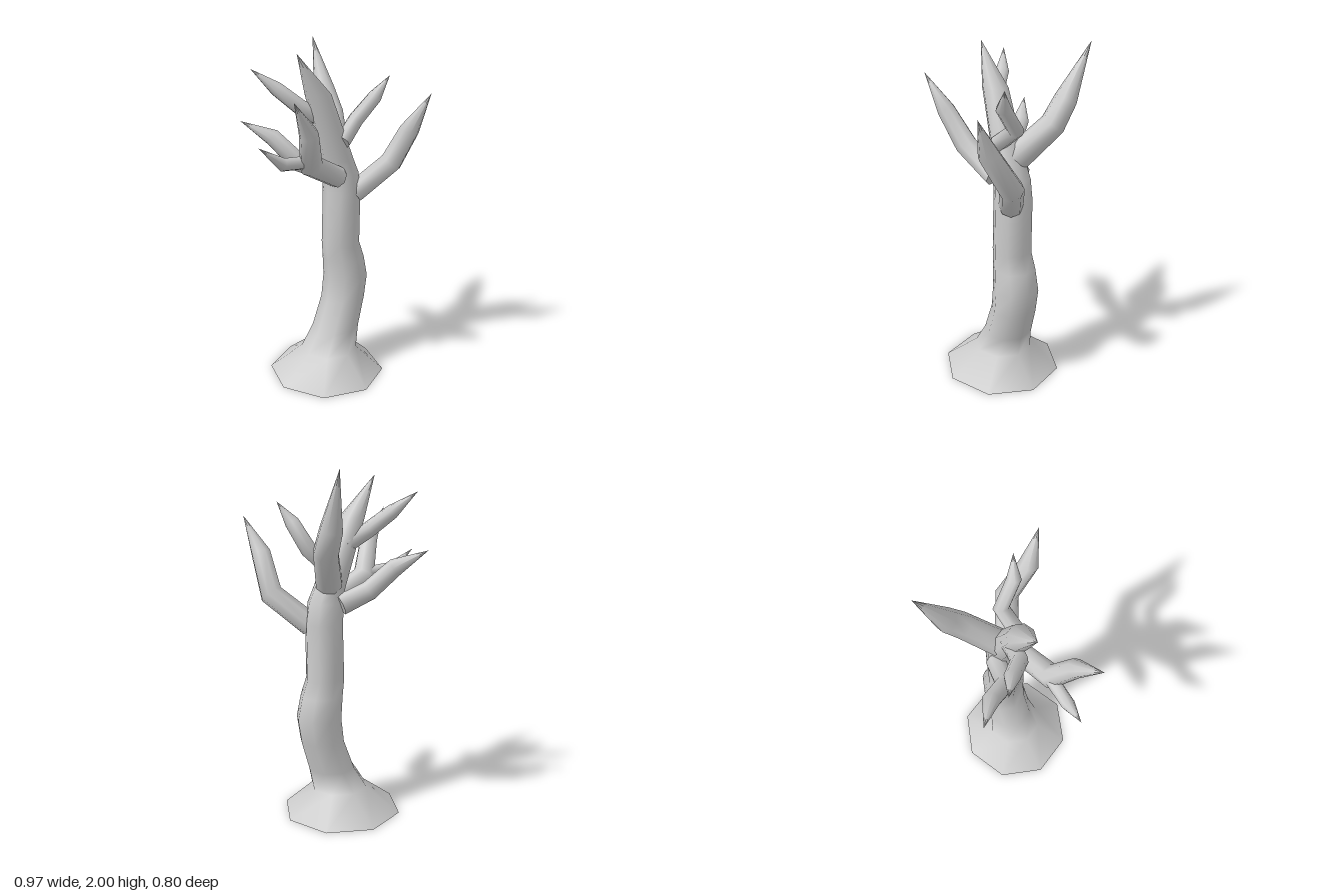
import * as THREE from 'three';

const SIDES = 8;
const barkMaterial = new THREE.MeshStandardMaterial({ color: 0xcccccc });
const openMaterial = new THREE.MeshStandardMaterial({ color: 0xcccccc, side: THREE.DoubleSide });

// Skin a limb through rings [x, y, z, radius]; radius 0 closes to a point.
// The trunk has level rings and an open foot; branches have a flat cut at the lower end.
function limb(name, rings, isTrunk = false) {
  const group = new THREE.Group();
  group.name = name;
  const centres = rings.map(r => new THREE.Vector3(r[0], r[1], r[2]));
  const positions = [], indices = [];
  let side = new THREE.Vector3(1, 0, 0);
  const loops = centres.map((c, i) => {
    const before = centres[Math.max(i - 1, 0)];
    const after = centres[Math.min(i + 1, centres.length - 1)];
    const dir = isTrunk ? new THREE.Vector3(0, 1, 0)
      : c.clone().sub(before).normalize().add(after.clone().sub(c).normalize()).normalize();
    // carry the previous frame forward to avoid twisting
    side = side.clone().addScaledVector(dir, -side.dot(dir)).normalize();
    const up = new THREE.Vector3().crossVectors(dir, side);
    return Array.from({ length: SIDES }, (_, j) => {
      const a = j / SIDES * Math.PI * 2;
      return c.clone()
        .addScaledVector(side, Math.cos(a) * rings[i][3])
        .addScaledVector(up, Math.sin(a) * rings[i][3]);
    });
  });
  loops.forEach(loop => loop.forEach(p => positions.push(p.x, p.y, p.z)));
  for (let i = 0; i < loops.length - 1; i++) {
    for (let j = 0; j < SIDES; j++) {
      const k = (j + 1) % SIDES, a = i * SIDES, b = a + SIDES;
      if (rings[i + 1][3] > 0) indices.push(a + j, a + k, b + k, a + j, b + k, b + j);
      else indices.push(a + j, a + k, b + j);
    }
  }
  const bark = new THREE.BufferGeometry();
  bark.setAttribute('position', new THREE.Float32BufferAttribute(positions, 3));
  bark.setIndex(indices);
  bark.computeVertexNormals();
  const barkMesh = new THREE.Mesh(bark, isTrunk ? openMaterial : barkMaterial);
  barkMesh.name = name + 'Bark';
  group.add(barkMesh);
  if (isTrunk) return group;

  // flat cut at the lower end
  const cut = new THREE.BufferGeometry().setFromPoints(loops[0]);
  const fan = [];
  for (let j = 1; j < SIDES - 1; j++) fan.push(0, j + 1, j);
  cut.setIndex(fan);
  cut.computeVertexNormals();
  const cutMesh = new THREE.Mesh(cut, barkMaterial);
  cutMesh.name = name + 'End';
  group.add(cutMesh);
  return group;
}

export function createModel() {
  const tree = new THREE.Group();
  tree.name = 'bareTree';

  // flared foot, winding trunk and leaning pointed top
  tree.add(limb('trunk', [
    [0.063, 0, -0.002, 0.352], [0.08, 0.15, 0, 0.169], [0.135, 0.28, 0, 0.141],
    [0.195, 0.46, 0, 0.132], [0.214, 0.6, 0, 0.134], [0.195, 0.73, 0, 0.125],
    [0.171, 0.83, 0, 0.113], [0.176, 1.15, 0, 0.111], [0.163, 1.27, 0, 0.106],
    [0.14, 1.35, 0, 0.093], [-0.01, 1.74, 0, 0.074], [-0.16, 1.97, 0, 0],
  ], true));

  // each branch runs from the trunk out to a pointed tip
  const branches = {
    frontRightBranch: [[0.085, 1.263, 0.06, 0.063], [-0.155, 1.385, 0.105, 0.066], [-0.24, 1.585, 0.185, 0.053], [-0.385, 1.775, 0.24, 0]],
    frontLeftBranch: [[0.232, 1.137, 0.048, 0.068], [0.42, 1.315, 0.165, 0.067], [0.415, 1.53, 0.3, 0.057], [0.475, 1.74, 0.397, 0]],
    backLeftBranch: [[0.16, 1.38, -0.035, 0.078], [0.267, 1.57, -0.19, 0.071], [0.275, 1.7, -0.265, 0.064], [0.303, 2, -0.398, 0]],
    backRightBranch: [[0.115, 1.262, -0.085, 0.058], [-0.05, 1.335, -0.12, 0.056], [-0.135, 1.475, -0.25, 0.05], [-0.273, 1.57, -0.367, 0]],
    upperBackBranch: [[0.05, 1.59, -0.03, 0.05], [-0.09, 1.67, -0.055, 0.046], [-0.18, 1.77, -0.15, 0.041], [-0.293, 1.88, -0.232, 0]],
    upperFrontBranch: [[0.117, 1.462, 0.063, 0.046], [0.25, 1.568, 0.035, 0.046], [0.295, 1.71, 0.14, 0.041], [0.368, 1.825, 0.18, 0]],
    twig: [[-0.14, 1.4, 0.09, 0.037], [-0.34, 1.42, 0.09, 0.037], [-0.483, 1.53, 0.07, 0]],
  };
  for (const [name, rings] of Object.entries(branches)) tree.add(limb(name, rings));
  return tree;
}
